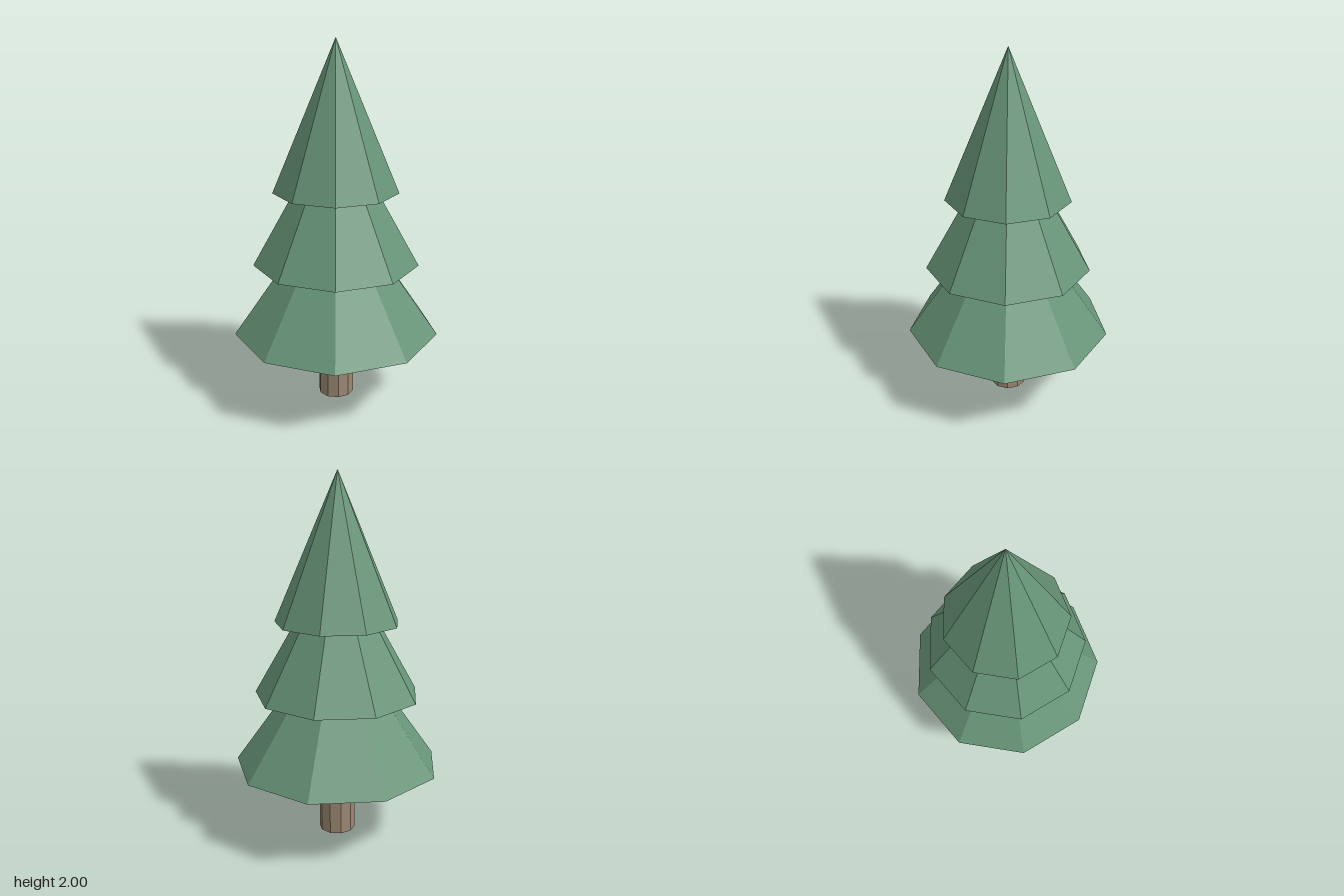
import * as THREE from 'three';

export function createModel() {
  const foliage = new THREE.MeshStandardMaterial({ color: 0x689579, flatShading: true });
  foliage.name = 'foliage green';
  const bark = new THREE.MeshStandardMaterial({ color: 0x9b8873, flatShading: true });
  bark.name = 'bark brown';

  const tree = new THREE.Group();
  tree.name = 'pineTree';

  // The axis sits slightly off centre because nine-sided tiers are asymmetric in x
  const axisX = -0.017;
  const corner = Math.PI / 2; // turns one corner towards +x

  function add(name, geometry, material, y) {
    const mesh = new THREE.Mesh(geometry, material);
    mesh.name = name;
    mesh.position.set(axisX, y, 0);
    tree.add(mesh);
  }

  // Ten-sided trunk
  add('trunk', new THREE.CylinderGeometry(0.1, 0.1, 0.4, 10, 1, false, corner), bark, 0.2);

  // Three overlapping nine-sided cones of equal height, narrowing upwards
  const height = 0.8;
  const tiers = [['lowerTier', 0.57], ['middleTier', 0.456], ['upperTier', 0.342]];
  tiers.forEach(([name, radius], i) => {
    const cone = new THREE.ConeGeometry(radius, height, 9, 1, false, corner);
    add(name, cone, foliage, 0.4 * (i + 1) + height / 2);
  });

  return tree;
}
